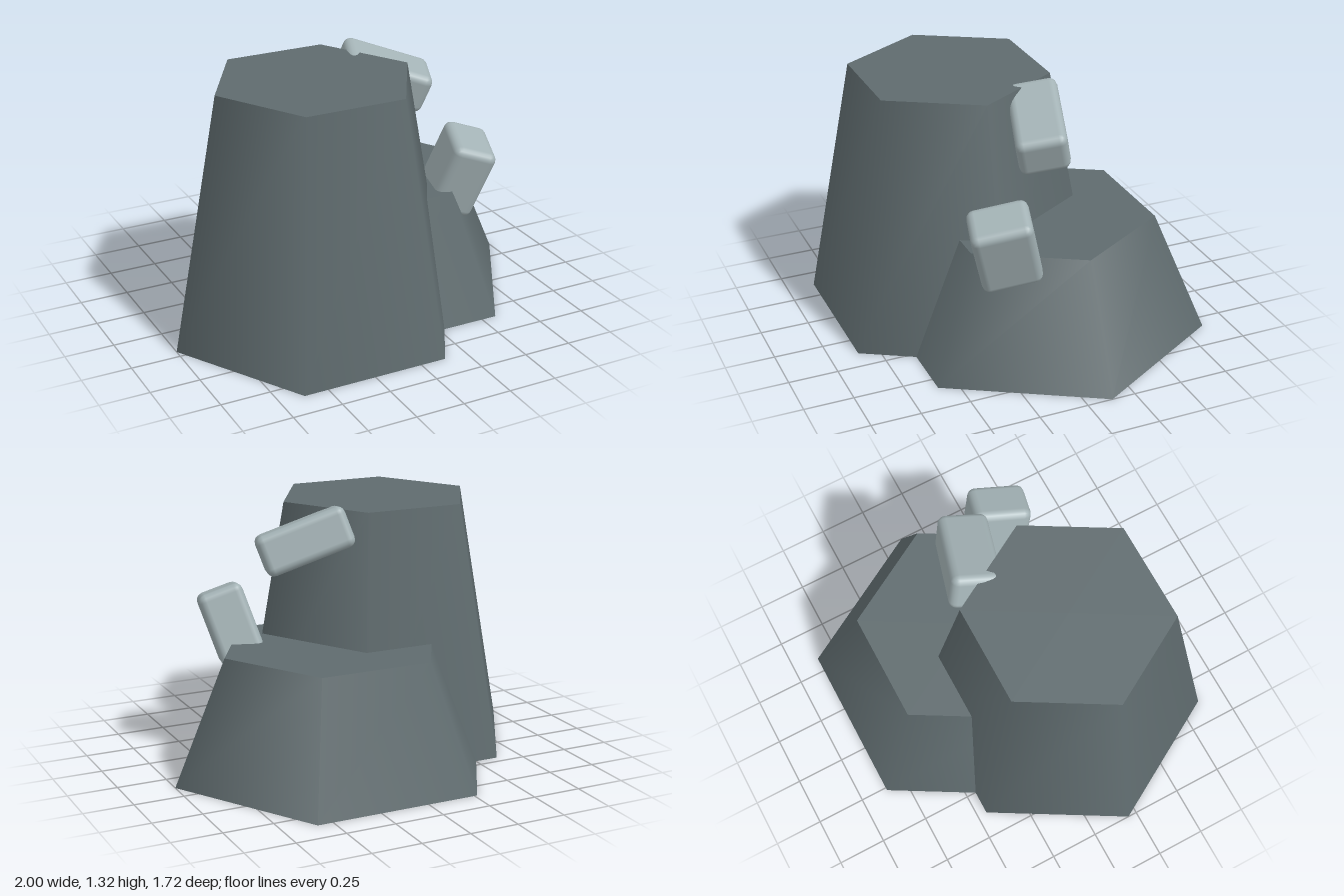
import * as THREE from 'three';
import { RoundedBoxGeometry } from 'three/addons/geometries/RoundedBoxGeometry.js';

const darkStone = new THREE.MeshStandardMaterial({ color: 0x5f6b6e });
const paleStone = new THREE.MeshStandardMaterial({ color: 0xa3b2b5 });

// Six-sided tapered column standing on the ground, with corners on the x axis
function column(name, topRadius, bottomRadius, height, x, z) {
  const geometry = new THREE.CylinderGeometry(topRadius, bottomRadius, height, 6, 1, false, Math.PI / 2);
  const mesh = new THREE.Mesh(geometry, darkStone);
  mesh.name = name;
  mesh.position.set(x, height / 2, z);
  return mesh;
}

// Tilted block with rounded edges; along and up give its local x and y axes
function block(name, size, center, along, up) {
  const mesh = new THREE.Mesh(new RoundedBoxGeometry(...size, 2, 0.04), paleStone);
  const xAxis = new THREE.Vector3(...along).normalize();
  const zAxis = xAxis.clone().cross(new THREE.Vector3(...up)).normalize();
  const yAxis = zAxis.clone().cross(xAxis);
  mesh.name = name;
  mesh.quaternion.setFromRotationMatrix(new THREE.Matrix4().makeBasis(xAxis, yAxis, zAxis));
  mesh.position.set(...center);
  return mesh;
}

export function createModel() {
  const group = new THREE.Group();
  group.name = 'rockFormation';
  group.add(
    column('tallColumn', 0.51, 0.754, 1.29, -0.246, 0.203),
    column('shortColumn', 0.573, 0.843, 0.62, 0.157, -0.13),
    block('upperBlock', [0.46, 0.21, 0.25], [0.27, 1.142, -0.06], [0.9, -0.34, 0.27], [0.27, 0.92, 0.27]),
    block('lowerBlock', [0.23, 0.385, 0.3], [0.55, 0.683, 0.235], [0.92, -0.32, 0.23], [0.25, 0.92, 0.28]),
  );
  return group;
}
